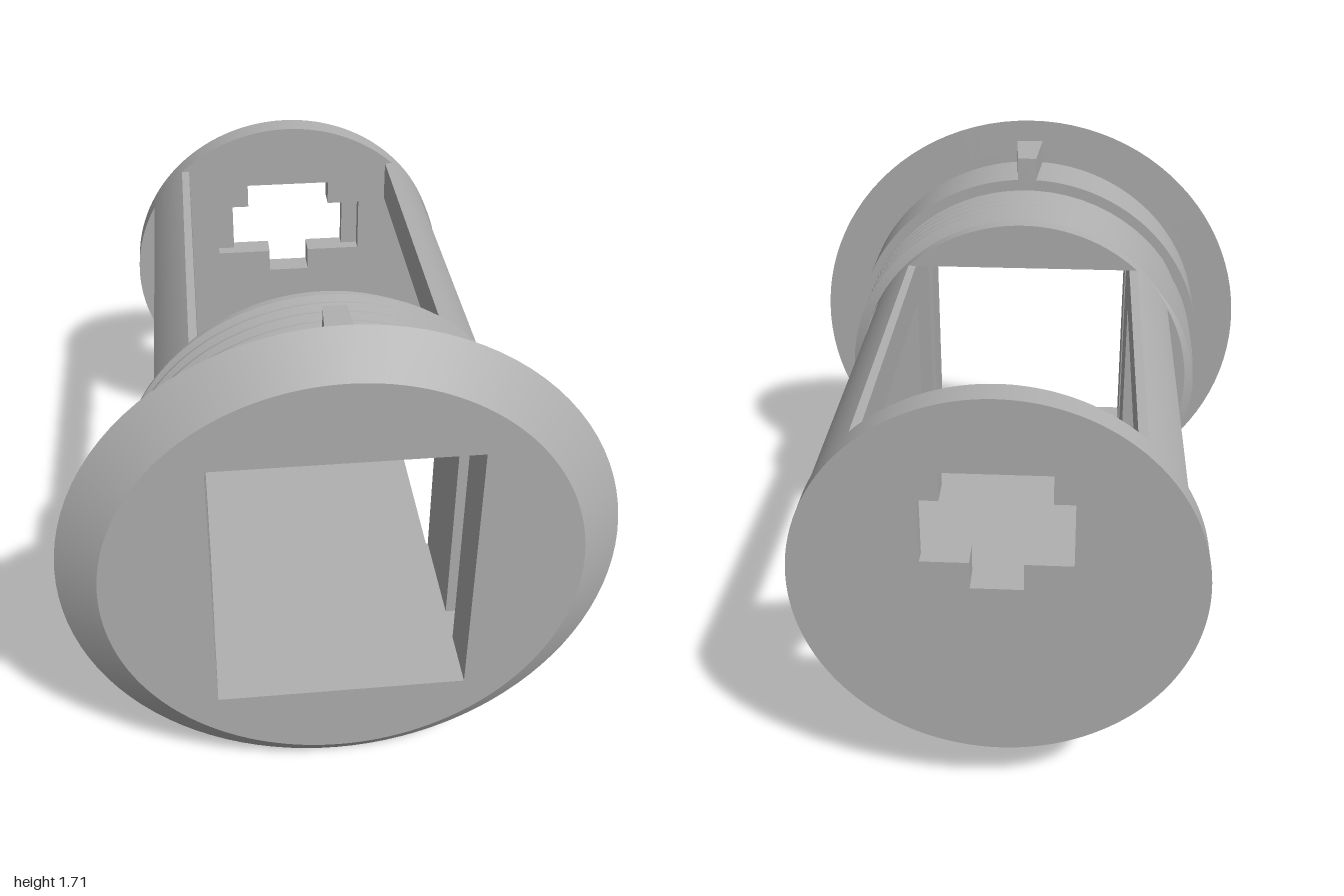
import * as THREE from 'three';
import { toCreasedNormals } from 'three/addons/utils/BufferGeometryUtils.js';

const grey = new THREE.MeshStandardMaterial({ color: 0xb0b0b0 });
grey.name = 'grey plastic';

const R = 0.625;               // body radius
const LOW = -0.465, HIGH = 0.46; // square opening, relative to the axis

const polygon = (pts, Type = THREE.Shape) => new Type(pts.map(([x, y]) => new THREE.Vector2(x, y)));
const rectHole = (w) => polygon([[-w, LOW], [-w, HIGH], [w, HIGH], [w, LOW]], THREE.Path);

function disc(radius, hole) {
  const s = new THREE.Shape();
  s.absarc(0, 0, radius, 0, Math.PI * 2, false);
  s.holes.push(hole);
  return s;
}

// Symmetric keyhole outline; w is the half width of its middle band
function keyhole(w) {
  const right = [[0.08, -0.005], [0.08, 0.085], [w, 0.085], [w, 0.295], [0.163, 0.295], [0.163, 0.388]];
  return polygon([...right, ...right.map(([x, y]) => [-x, y]).reverse()], THREE.Path);
}

function arcPoints(r, a0, a1, n) {
  return Array.from({ length: n + 1 }, (_, i) => {
    const a = a0 + (a1 - a0) * i / n;
    return [r * Math.cos(a), r * Math.sin(a)];
  });
}

// Helical ridge: a trapezoid section swept around the z axis
function threadGeometry() {
  const pitch = 0.052, z0 = 0.376, z1 = 0.645, perTurn = 72;
  const steps = Math.round((z1 - z0) / pitch * perTurn);
  const pos = [], idx = [];
  for (let i = 0; i <= steps; i++) {
    const z = z0 + (z1 - z0) * i / steps;
    const a = Math.PI / 2 + (z - 0.63) / pitch * Math.PI * 2;
    const fade = Math.min(1, i / 10, (steps - i) / 10);
    const crest = 0.616 + 0.046 * fade;
    for (const [r, dz] of [[0.615, -0.026], [crest, -0.004], [crest, 0.004], [0.615, 0.026]]) {
      pos.push(r * Math.cos(a), r * Math.sin(a), z + dz);
    }
    if (i === steps) continue;
    for (let j = 0; j < 3; j++) {
      const p = i * 4 + j;
      idx.push(p, p + 4, p + 1, p + 4, p + 5, p + 1);
    }
  }
  const g = new THREE.BufferGeometry();
  g.setAttribute('position', new THREE.Float32BufferAttribute(pos, 3));
  g.setIndex(idx);
  return toCreasedNormals(g, 0.4);
}

export function createModel() {
  const model = new THREE.Group();
  model.name = 'threadedHolder';
  const body = new THREE.Group();
  body.name = 'body';
  body.position.y = 0.857;
  model.add(body);

  const add = (name, geometry) => {
    const mesh = new THREE.Mesh(geometry, grey);
    mesh.name = name;
    body.add(mesh);
    return mesh;
  };
  // Extrude a cross-section between two depths
  const slab = (name, shape, zBack, zFront) => {
    const g = new THREE.ExtrudeGeometry(shape, { depth: zFront - zBack, bevelEnabled: false, curveSegments: 96 });
    g.translate(0, 0, zBack);
    return add(name, toCreasedNormals(g, 0.4));
  };

  // Bevelled flange
  slab('flangeFace', disc(0.728, rectHole(0.395)), 0.91, 1);
  const bevel = new THREE.CylinderGeometry(0.728, 0.855, 0.09, 96, 1, true);
  bevel.rotateX(Math.PI / 2).translate(0, 0, 0.955);
  add('flangeBevel', bevel);
  const back = new THREE.RingGeometry(0.68, 0.855, 96);
  back.rotateY(Math.PI).translate(0, 0, 0.91);
  add('flangeBack', back);

  // Collar with a groove in each side wall of the opening
  slab('collarFront', disc(0.69, rectHole(0.395)), 0.81, 0.91);
  slab('collarGroove', disc(0.69, rectHole(0.48)), 0.69, 0.81);
  slab('collarRear', disc(0.69, rectHole(0.395)), 0.675, 0.69);

  // Tapered locating key on top of the collar
  const key = new THREE.ExtrudeGeometry(
    polygon([[-0.035, 0.675], [0.035, 0.675], [0.05, 0.91], [-0.05, 0.91]]),
    { depth: 0.12, bevelEnabled: false });
  key.rotateX(Math.PI / 2).translate(0, 0.773, 0);
  add('locatingKey', key);

  // Threaded neck
  slab('neck', disc(R, rectHole(0.395)), 0.345, 0.675);
  add('thread', threadGeometry());

  // Upper rails
  const rail = [[0.395, HIGH], [0.395, 0.31],
    ...arcPoints(R, Math.asin(0.31 / R), Math.asin(HIGH / R), 10)];
  for (const side of [1, -1]) {
    slab(side > 0 ? 'leftRail' : 'rightRail', polygon(rail.map(([x, y]) => [x * side, y])), -0.91, 0.345);
  }

  // Floor with a rounded underside
  const a = Math.asin(0.49 / R), edge = R * Math.cos(a);
  slab('floor', polygon([...arcPoints(R, Math.PI + a, Math.PI * 2 - a, 40), [edge, LOW], [-edge, LOW]]), -0.91, 0.345);

  // End disc: keyhole with a wider pocket on the inner side
  slab('endDiscInner', disc(R, keyhole(0.29)), -0.955, -0.91);
  slab('endDiscOuter', disc(R, keyhole(0.226)), -1, -0.955);

  return model;
}
